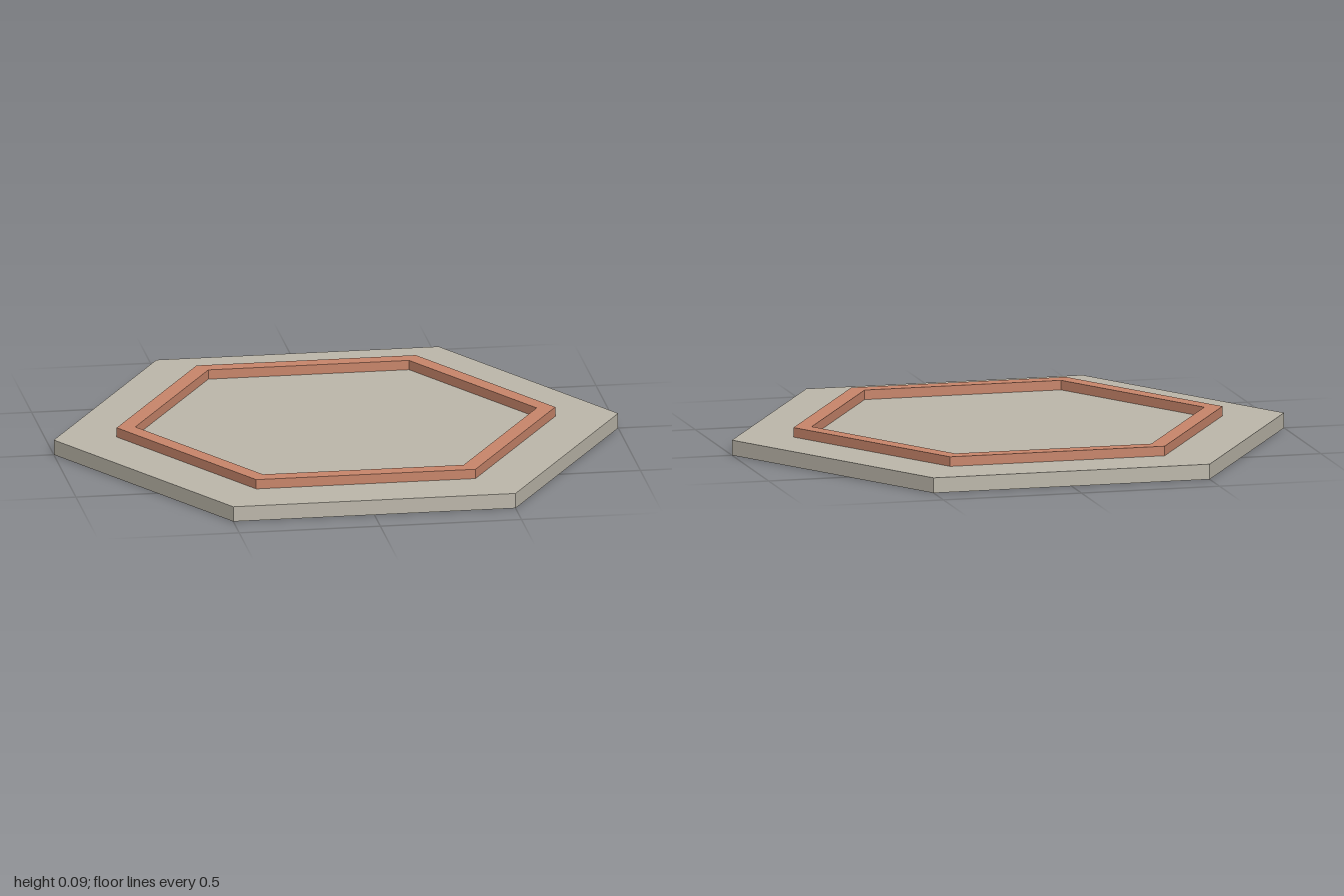
import * as THREE from 'three';

const SLAB_HEIGHT = 0.054;
const RIM_HEIGHT = 0.034;

// Corners of a hexagon with points on the x axis
function hexagon(radius) {
  return Array.from({ length: 6 }, (_, i) => {
    const a = (i * Math.PI) / 3;
    return new THREE.Vector2(radius * Math.cos(a), radius * Math.sin(a));
  });
}

// Upright hexagonal prism, with an optional hexagonal opening
function hexPrism(outer, inner, height, y) {
  const shape = new THREE.Shape(hexagon(outer));
  if (inner) shape.holes.push(new THREE.Path(hexagon(inner)));
  const geometry = new THREE.ExtrudeGeometry(shape, { depth: height, bevelEnabled: false });
  return geometry.rotateX(-Math.PI / 2).translate(0, y, 0);
}

export function createModel() {
  const stone = new THREE.MeshStandardMaterial({ color: 0xbdb8ab });
  stone.name = 'warm grey stone';
  const clay = new THREE.MeshStandardMaterial({ color: 0xc9866b });
  clay.name = 'terracotta';

  const model = new THREE.Group();
  model.name = 'hexagonalTile';

  // Base slab
  const slab = new THREE.Mesh(hexPrism(1, 0, SLAB_HEIGHT, 0), stone);
  slab.name = 'baseSlab';

  // Raised rim standing on the slab
  const rim = new THREE.Mesh(hexPrism(0.777, 0.711, RIM_HEIGHT, SLAB_HEIGHT), clay);
  rim.name = 'raisedRim';

  model.add(slab, rim);
  return model;
}
